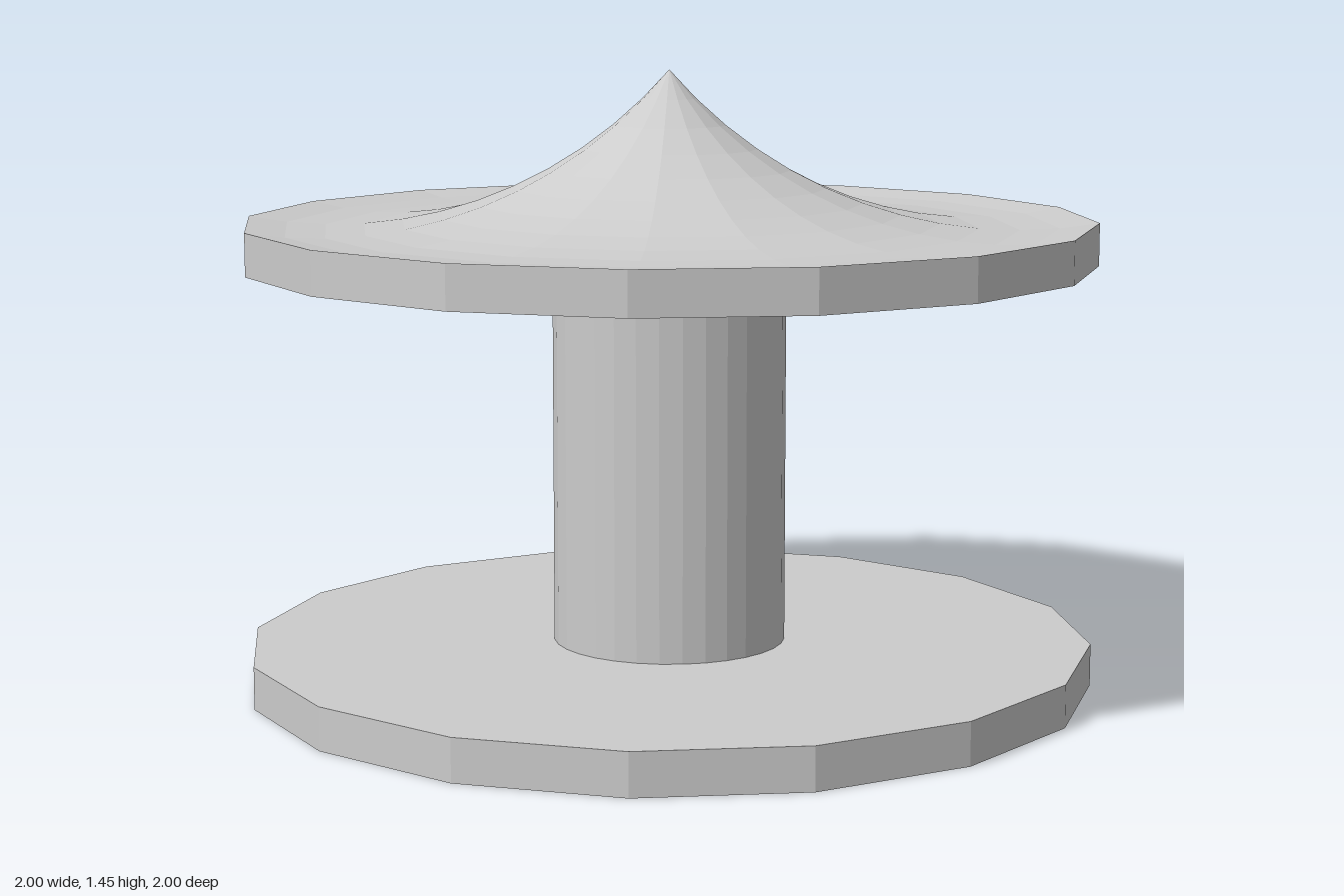
import * as THREE from 'three';

const material = new THREE.MeshStandardMaterial({ color: 0xcccccc, flatShading: true });

function addPart(group, name, geometry, y = 0) {
  const mesh = new THREE.Mesh(geometry, material);
  mesh.name = name;
  mesh.position.y = y;
  group.add(mesh);
}

// Circular arc from the rim, through a shallow dip, up to the pointed tip
function roofArc(steps) {
  const cx = 0.805, cy = 2.146, r = 1.064;
  const start = Math.asin((1 - cx) / r), end = Math.asin(-cx / r);
  const points = [];
  for (let i = 1; i < steps; i++) {
    const a = start + (end - start) * i / steps;
    points.push(new THREE.Vector2(cx + r * Math.sin(a), cy - r * Math.cos(a)));
  }
  points.push(new THREE.Vector2(0, 1.45));
  return points;
}

export function createModel() {
  const group = new THREE.Group();
  group.name = 'spool';

  // 16-sided base plate
  addPart(group, 'basePlate', new THREE.CylinderGeometry(1, 1, 0.1, 16), 0.05);

  // Central column
  addPart(group, 'column', new THREE.CylinderGeometry(0.275, 0.275, 0.9, 32), 0.55);

  // Top plate with a dished, pointed upper surface
  const profile = [
    new THREE.Vector2(0, 1),
    new THREE.Vector2(1, 1),
    new THREE.Vector2(1, 1.1),
    ...roofArc(12),
  ];
  addPart(group, 'pointedTop', new THREE.LatheGeometry(profile, 16));

  return group;
}
